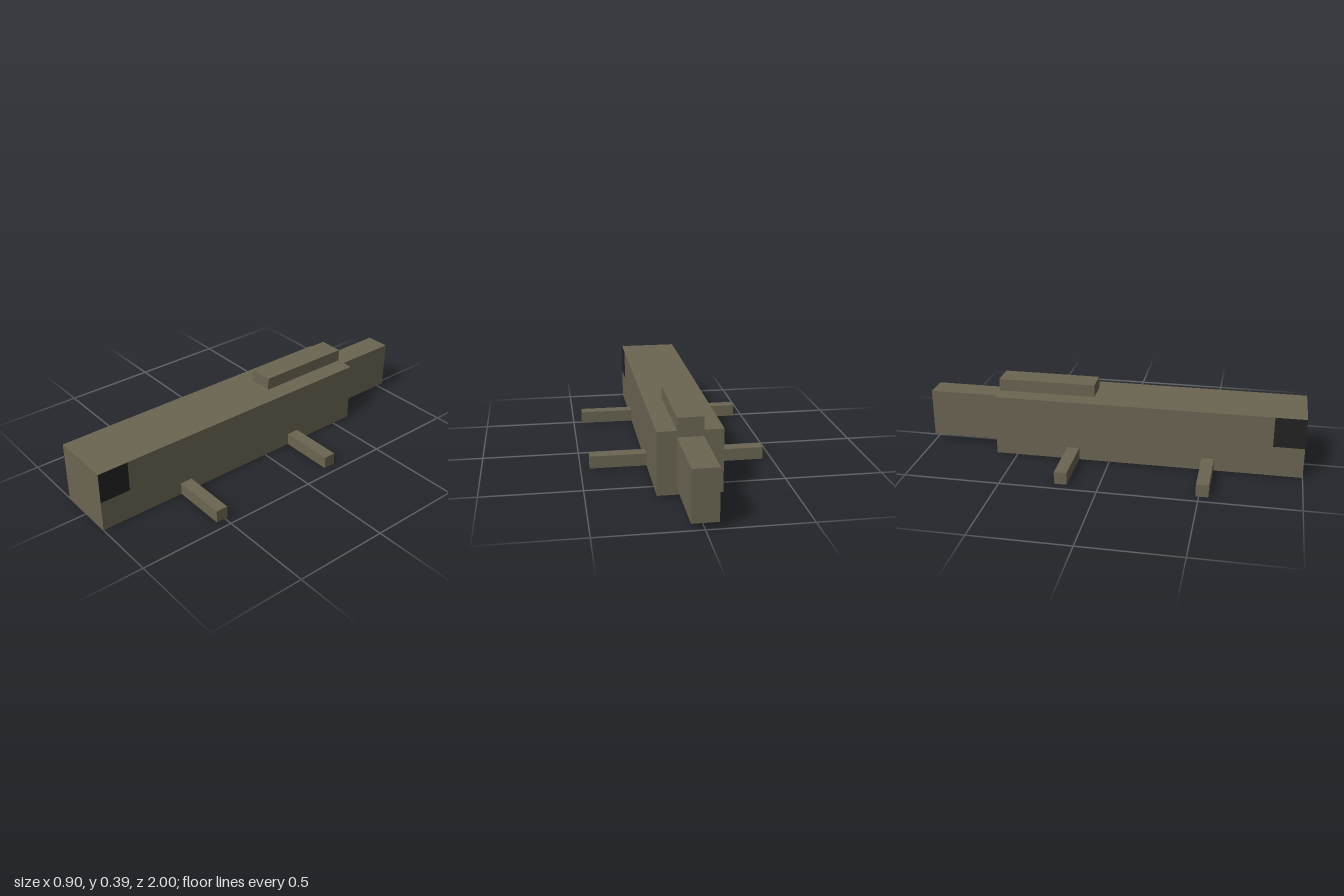
import * as THREE from 'three';

export function createModel() {
  const group = new THREE.Group();
  const hide = new THREE.MeshStandardMaterial({ color: 0x6b6552 });
  hide.name = 'olive hide';
  const black = new THREE.MeshStandardMaterial({ color: 0x222222 });
  black.name = 'eye black';

  // Box given by its [min, max] extent on each axis
  function box(name, [x0, x1], [y0, y1], [z0, z1], material = hide) {
    const mesh = new THREE.Mesh(new THREE.BoxGeometry(x1 - x0, y1 - y0, z1 - z0), material);
    mesh.position.set((x0 + x1) / 2, (y0 + y1) / 2, (z0 + z1) / 2);
    mesh.name = name;
    group.add(mesh);
  }

  box('body', [-0.161, 0.161], [0, 0.322], [-0.613, 1]);
  box('backRidge', [-0.064, 0.064], [0.322, 0.387], [-0.613, -0.097]);
  box('tail', [-0.064, 0.064], [0.034, 0.29], [-1, -0.613]);

  // Mirrored legs and eyes
  for (const [side, s] of [['left', 1], ['right', -1]]) {
    const span = (a, b) => (s > 0 ? [a, b] : [-b, -a]);
    box(side + 'FrontLeg', span(0.161, 0.452), [0, 0.065], [0.484, 0.548]);
    box(side + 'BackLeg', span(0.161, 0.452), [0, 0.065], [-0.226, -0.161]);
    box(side + 'Eye', span(0.16, 0.163), [0.163, 0.322], [0.841, 1], black);
  }
  return group;
}
